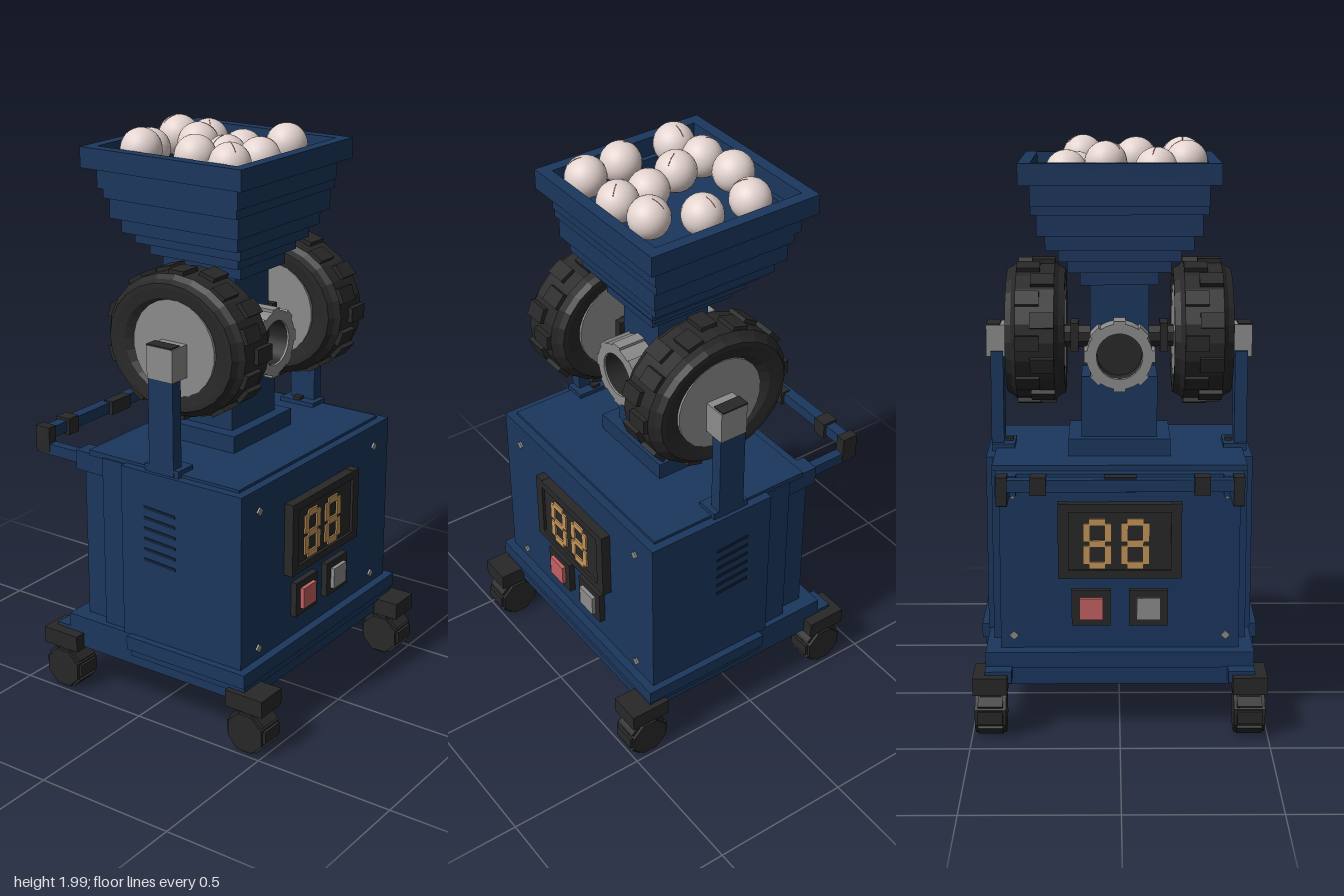
import * as THREE from 'three';

const mat = (name, color) => {
  const m = new THREE.MeshStandardMaterial({ color });
  m.name = name;
  return m;
};

export function createModel() {
  const blue = mat('navy paint', 0x1b375e), dark = mat('black rubber', 0x282828);
  const grey = mat('grey metal', 0x8c8c8c), red = mat('red button', 0xc46262);
  const amber = mat('amber segments', 0xc4965a), white = mat('ball leather', 0xe4d4d0);
  const slot = mat('slot shadow', 0x13233b);
  const root = new THREE.Group();
  root.name = 'ballThrower';

  const add = (name, geo, m, parent = root) => {
    const mesh = new THREE.Mesh(geo, m);
    mesh.name = name;
    parent.add(mesh);
    return mesh;
  };
  // Box given by its limits on each axis
  const box = (name, m, x0, x1, y0, y1, z0, z1, parent = root) => {
    const b = add(name, new THREE.BoxGeometry(x1 - x0, y1 - y0, z1 - z0), m, parent);
    b.position.set((x0 + x1) / 2, (y0 + y1) / 2, (z0 + z1) / 2);
    return b;
  };
  const group = (name, parent = root) => {
    const g = new THREE.Group();
    g.name = name;
    parent.add(g);
    return g;
  };
  const facet = (geo) => {
    const g = geo.toNonIndexed();
    g.computeVertexNormals();
    return g;
  };
  const alongX = (r, w, n) => facet(new THREE.CylinderGeometry(r, r, w, n).rotateY(Math.PI / n).rotateZ(Math.PI / 2));

  // Chassis
  box('baseUnderside', blue, -0.455, 0.455, 0.175, 0.24, -0.335, 0.415);
  box('baseStep', blue, -0.475, 0.475, 0.22, 0.25, -0.05, 0.425);
  box('baseSkirt', blue, -0.485, 0.485, 0.245, 0.295, -0.06, 0.43);
  box('baseSkirtRear', blue, -0.455, 0.455, 0.235, 0.29, -0.34, -0.05);

  // Cabinet with stepped rear corners
  box('cabinet', blue, -0.46, 0.46, 0.29, 0.91, -0.09, 0.4);
  box('cabinetMiddle', blue, -0.435, 0.435, 0.28, 0.905, -0.19, -0.08);
  box('cabinetRear', blue, -0.405, 0.405, 0.28, 0.9, -0.29, -0.18);
  box('cabinetLid', blue, -0.43, 0.43, 0.9, 0.92, -0.25, 0.37);

  // Control panels, same on front and rear
  const digit = (parent, x) => {
    const g = group('displayDigit', parent);
    const w = 0.036, t = 0.012, z0 = 0.024, z1 = 0.03;
    for (const y of [0.59, 0.665, 0.74])
      box('segment', amber, x - w + 0.008, x + w - 0.008, y - t, y + t, z0, z1, g);
    for (const s of [-1, 1])
      for (const y of [0.626, 0.704])
        box('segment', amber, x + s * w - t, x + s * w + t, y - 0.032, y + 0.032, z0, z1, g);
  };
  const panel = (name) => {
    const g = group(name);
    box('displayScreen', dark, -0.2, 0.2, 0.55, 0.8, -0.005, 0.024, g);
    for (const s of [-1, 1]) {
      box('displaySideFrame', dark, s * 0.19 - 0.018, s * 0.19 + 0.018, 0.545, 0.805, 0, 0.034, g);
      const y = 0.675 + s * 0.115;
      box('displayFrame', dark, -0.18, 0.18, y - 0.014, y + 0.014, 0, 0.034, g);
      box('buttonPlate', dark, s * 0.097 - 0.066, s * 0.097 + 0.066, 0.375, 0.5, 0, 0.022, g);
      box('button', s < 0 ? red : grey, s * 0.097 - 0.04, s * 0.097 + 0.04, 0.4, 0.475, 0, 0.036, g);
      for (const yy of [0.335, 0.83]) {
        const screw = box('panelScrew', grey, -0.011, 0.011, -0.011, 0.011, 0, 0.008, g);
        screw.position.set(s * 0.36, yy, 0.003);
        screw.rotation.z = Math.PI / 4;
      }
    }
    digit(g, -0.076);
    digit(g, 0.052);
    return g;
  };
  panel('frontPanel').position.z = 0.4;
  const rear = panel('rearPanel');
  rear.position.z = -0.29;
  rear.rotation.y = Math.PI;

  // Casters
  for (const s of [-1, 1]) {
    for (const z of [0.436, -0.35]) {
      const g = group('caster');
      g.position.set(s * 0.437, 0, z);
      box('casterPlate', dark, -0.058, 0.058, 0.168, 0.228, -0.075, 0.072, g);
      box('casterFork', dark, -0.035, 0.035, 0.09, 0.18, -0.045, 0.045, g);
      add('casterWheel', alongX(0.072, 0.105, 8), dark, g).position.y = 0.085;
      for (let i = 0; i < 4; i++) {
        const lug = box('casterLug', dark, -0.042, 0.042, -0.077, 0.077, -0.022, 0.022, g);
        lug.position.y = 0.087;
        lug.rotation.x = i * Math.PI / 4;
      }
    }
    box('rearCorner', blue, s * 0.41 - 0.045, s * 0.41 + 0.045, 0.2, 0.24, -0.395, -0.32);
  }

  // Side fittings: vents, posts and throwing wheels
  const tyreProfile = [[0.13, -0.07], [0.165, -0.095], [0.2, -0.1], [0.215, -0.1], [0.225, -0.08], [0.24, -0.065],
    [0.24, 0.065], [0.225, 0.08], [0.215, 0.1], [0.2, 0.1], [0.165, 0.095], [0.13, 0.07]];
  const tyreGeo = facet(new THREE.LatheGeometry(tyreProfile.map((p) => new THREE.Vector2(...p)), 24).rotateZ(Math.PI / 2));
  for (const s of [-1, 1]) {
    for (let i = 0; i < 6; i++) {
      const v = box('ventSlot', slot, s * 0.461 - 0.002, s * 0.461 + 0.002, -0.005, 0.005, -0.065, 0.065);
      v.position.y = 0.59 + i * 0.038;
      v.position.z = 0.07;
      v.rotation.x = 0.06;
    }
    box('wheelPost', blue, s * 0.425 - 0.022, s * 0.425 + 0.022, 0.9, 1.26, 0.02, 0.12);
    box('postFoot', blue, s * 0.405 - 0.04, s * 0.405 + 0.04, 0.91, 0.935, 0, 0.14);
    box('postBolt', dark, s * 0.385 - 0.012, s * 0.385 + 0.012, 0.92, 0.945, 0.05, 0.08);
    box('axleBlock', grey, s * 0.422 - 0.04, s * 0.422 + 0.04, 1.24, 1.352, 0.028, 0.13);
    box('axleCap', dark, s * 0.437 - 0.024, s * 0.437 + 0.024, 1.35, 1.356, 0.025, 0.125);

    const w = group('throwingWheel');
    w.position.set(s * 0.285, 1.328, 0.063);
    const tread = group('tyreAndTread', w);
    tread.scale.z = 1.15;
    add('tyre', tyreGeo, dark, tread);
    for (let i = 0; i < 20; i++) {
      const a = i * Math.PI / 10;
      const lug = box('treadLug', dark, -0.04, 0.04, -0.02, 0.02, -0.026, 0.026, tread);
      lug.position.set(i % 2 ? 0.025 : -0.025, Math.cos(a) * 0.232, Math.sin(a) * 0.232);
      lug.rotation.x = a;
    }
    add('wheelHub', alongX(0.163, 0.192, 24), grey, w).position.z = 0.012;
    add('innerAxle', alongX(0.04, 0.12, 8), dark).position.set(s * 0.15, 1.31, 0.06);
    box('axleCollar', dark, s * 0.155 - 0.014, s * 0.155 + 0.014, 1.26, 1.36, 0.01, 0.11);
  }

  // Column and ball barrel
  box('columnFoot', blue, -0.175, 0.175, 0.915, 0.98, -0.12, 0.17);
  box('column', blue, -0.13, 0.13, 0.97, 1.19, -0.08, 0.13);
  box('columnNeck', blue, -0.1, 0.1, 1.18, 1.53, -0.08, 0.12);
  const ring = new THREE.Shape().absarc(0, 0, 0.112, 0, Math.PI * 2);
  ring.holes.push(new THREE.Path().absarc(0, 0, 0.078, 0, Math.PI * 2, true));
  const ringGeo = new THREE.ExtrudeGeometry(ring, { depth: 0.1, bevelEnabled: false, curveSegments: 16 });
  const linerGeo = new THREE.CylinderGeometry(0.078, 0.078, 0.094, 16).rotateX(Math.PI / 2);
  linerGeo.scale(-1, 1, 1);
  for (const [z, face] of [[0.12, 1], [-0.17, -1]]) {
    add('barrelRing', ringGeo, grey).position.set(0, 1.275, z);
    const bore = add('barrelBore', new THREE.CircleGeometry(0.08, 16), dark);
    bore.position.set(0, 1.275, face > 0 ? 0.14 : -0.1);
    if (face < 0) bore.rotation.y = Math.PI;
    const liner = new THREE.CylinderGeometry(0.077, 0.077, 0.09, 16, 1, true).rotateX(Math.PI / 2);
    liner.index.array.reverse();
    add('barrelLiner', liner, dark).position.set(0, 1.275, z + 0.05);
    for (let i = 0; i < 8; i++) {
      const a = i * Math.PI / 4;
      const b = box('barrelRib', grey, -0.02, 0.02, -0.01, 0.01, -0.05, 0.05);
      b.position.set(Math.sin(a) * 0.11, 1.275 + Math.cos(a) * 0.11, z + 0.05);
      b.rotation.z = -a;
    }
  }

  // Hopper: stepped funnel (half width, half depth, bottom, top) under an open rim
  const steps = [[0.29, 0.268, 1.76, 1.81], [0.272, 0.26, 1.69, 1.77], [0.245, 0.235, 1.64, 1.7],
    [0.203, 0.215, 1.6, 1.65], [0.172, 0.18, 1.56, 1.61], [0.132, 0.16, 1.515, 1.57]];
  steps.forEach(([hx, hz, y0, y1], i) => {
    const c = -0.01 + i * 0.003;
    box('hopperStep', blue, -hx, hx, y0, y1, c - hz, c + hz);
  });
  const rect = (P, x, z) => new P([[-x, -z], [x, -z], [x, z], [-x, z]].map((p) => new THREE.Vector2(...p)));
  const frame = (name, x, z, holeX, holeZ, y0, y1) => {
    const shape = rect(THREE.Shape, x, z);
    shape.holes.push(rect(THREE.Path, holeX, holeZ));
    const geo = new THREE.ExtrudeGeometry(shape, { depth: y1 - y0, bevelEnabled: false }).rotateX(-Math.PI / 2);
    add(name, geo, blue).position.set(0, y0, -0.02);
  };
  frame('hopperRim', 0.328, 0.322, 0.287, 0.28, 1.86, 1.93);
  frame('hopperCollar', 0.291, 0.283, 0.268, 0.262, 1.79, 1.865);

  // Balls (x, y, z) with a short stitched seam
  const balls = [[-0.22, 1.925, -0.17], [-0.12, 1.905, -0.212], [0.045, 1.925, -0.215], [0.175, 1.895, -0.185],
    [-0.055, 1.93, -0.06], [0.145, 1.88, -0.02], [-0.215, 1.925, 0.045], [-0.05, 1.9, 0.05],
    [-0.215, 1.915, 0.18], [-0.04, 1.905, 0.175], [0.125, 1.925, 0.17]];
  const ballGeo = new THREE.SphereGeometry(0.07, 24, 16);
  const seamGeo = new THREE.TorusGeometry(0.0698, 0.0012, 4, 12, 0.7);
  balls.forEach((p, i) => {
    const g = group('ball');
    g.position.set(...p);
    add('ballSkin', ballGeo, white, g);
    add('ballSeam', seamGeo, red, g).rotation.set(0, i * 1.3, 0.7);
  });

  // Rear push handle
  const handle = group('pushHandle');
  for (const s of [-1, 1]) {
    box('handleArm', blue, s * 0.382 - 0.017, s * 0.382 + 0.017, 0.845, 0.885, -0.5, -0.2, handle);
    box('handleBracket', blue, s * 0.382 - 0.035, s * 0.382 + 0.035, 0.83, 0.9, -0.32, -0.19, handle);
    box('handleCorner', dark, s * 0.383 - 0.018, s * 0.383 + 0.018, 0.85, 0.945, -0.515, -0.455, handle);
    box('handleCollar', dark, s * 0.265 - 0.026, s * 0.265 + 0.026, 0.885, 0.945, -0.515, -0.457, handle);
  }
  box('handleBar', blue, -0.37, 0.37, 0.895, 0.935, -0.508, -0.468, handle);
  box('handleGrip', dark, -0.053, 0.053, 0.89, 0.94, -0.493, -0.455, handle);

  return root;
}
